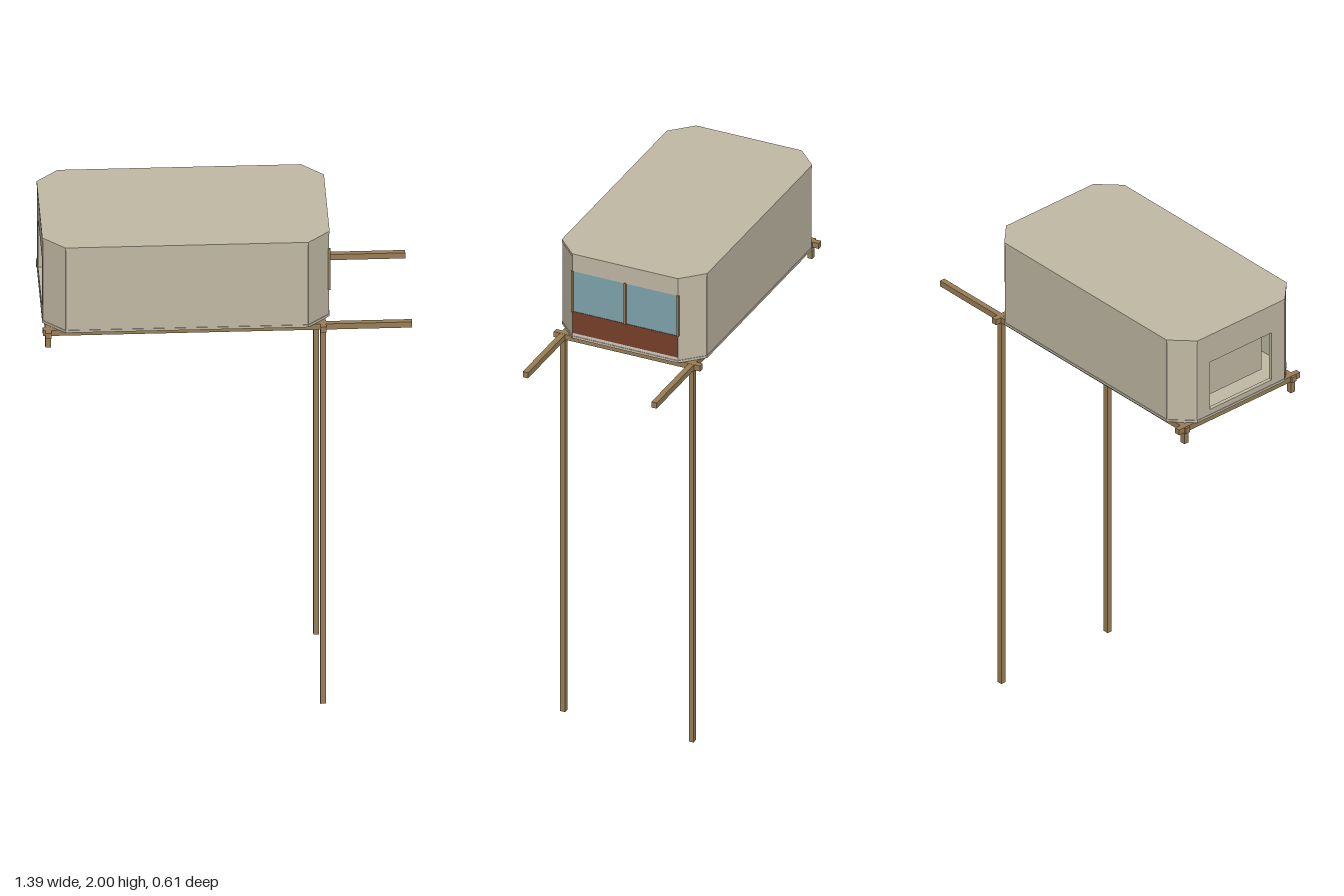
import * as THREE from 'three';

const mat = (name, color) => new THREE.MeshStandardMaterial({ name, color });

export function createModel() {
  const wallMat = mat('beige panel', 0xc2baa6);
  const wood = mat('timber', 0x9a7f57);
  const glass = mat('blue glass', 0x7fa5af);
  const brown = mat('red brown panel', 0x784029);
  const pale = mat('pale sill', 0xd2cdc2);

  const group = new THREE.Group();
  group.name = 'stiltCabin';
  const add = (name, geo, material, x = 0, y = 0, z = 0) => {
    const mesh = new THREE.Mesh(geo, material);
    mesh.name = name;
    mesh.position.set(x, y, z);
    group.add(mesh);
    return mesh;
  };
  // Box given by its minimum and maximum corners
  const block = (name, material, x0, x1, y0, y1, z0, z1) =>
    add(name, new THREE.BoxGeometry(x1 - x0, y1 - y0, z1 - z0), material,
      (x0 + x1) / 2, (y0 + y1) / 2, (z0 + z1) / 2);

  // Cabin plan: rectangle with cut corners
  const X0 = -0.695, X1 = 0.387, Z = 0.303, C = 0.083;
  const base = 1.635, top = 2, floorTop = 1.645, roofBottom = 1.988, t = 0.016;
  const plan = [
    [X0 + C, Z], [X1 - C, Z], [X1, Z - C], [X1, -Z + C],
    [X1 - C, -Z], [X0 + C, -Z], [X0, -Z + C], [X0, Z - C],
  ];
  const slab = (name, y, height) => {
    const shape = new THREE.Shape(plan.map(([x, z]) => new THREE.Vector2(x, -z)));
    const geo = new THREE.ExtrudeGeometry(shape, { depth: height, bevelEnabled: false });
    geo.rotateX(-Math.PI / 2);
    add(name, geo, wallMat, 0, y, 0);
  };
  slab('floor', base, floorTop - base);
  slab('roof', roofBottom, top - roofBottom);

  // Long sides and corner panels, set just inside the slab edge
  const wall = (name, [ax, az], [bx, bz]) => {
    const dx = bx - ax, dz = bz - az, len = Math.hypot(dx, dz);
    const inset = t / 2 + 0.002;
    const mesh = add(name, new THREE.BoxGeometry(len - 0.004, roofBottom - floorTop, t), wallMat,
      (ax + bx) / 2 + (dz / len) * inset, (floorTop + roofBottom) / 2,
      (az + bz) / 2 - (dx / len) * inset);
    mesh.rotation.y = -Math.atan2(dz, dx);
  };
  for (const [i, name] of [[0, 'frontWall'], [1, 'cornerPanel'], [3, 'cornerPanel'],
    [4, 'backWall'], [5, 'cornerPanel'], [7, 'cornerPanel']]) {
    wall(name, plan[i], plan[(i + 1) % 8]);
  }

  // End wall with an open hatch
  const w = Z - C;
  const rect = (Type, a, y0, y1) => new Type([
    new THREE.Vector2(-a, y0), new THREE.Vector2(a, y0),
    new THREE.Vector2(a, y1), new THREE.Vector2(-a, y1),
  ]);
  const endShape = rect(THREE.Shape, w, floorTop, roofBottom);
  endShape.holes.push(rect(THREE.Path, 0.155, 1.667, 1.877));
  const endGeo = new THREE.ExtrudeGeometry(endShape, { depth: t, bevelEnabled: false });
  endGeo.rotateY(Math.PI / 2);
  add('hatchWall', endGeo, wallMat, X0 + 0.002, 0, 0);
  block('innerPanel', wallMat, X0 + 0.055, X0 + 0.065, 1.69, 1.9, -0.23, 0.15);

  // Glazed end: sill, lower panel, glass, header and uprights
  const xo = X1 - 0.002;
  block('sill', pale, xo - t, xo, floorTop, 1.657, -w, w);
  block('lowerPanel', brown, xo - t, xo, 1.657, 1.75, -w, w);
  block('window', glass, xo - t, xo - 0.002, 1.75, 1.924, -w, w);
  block('header', wallMat, xo - t, xo, 1.924, roofBottom, -w, w);
  for (const z of [-w, 0, w]) {
    block('windowPost', wood, xo - 0.008, X1 + 0.003, 1.75, 1.926, z - 0.004, z + 0.004);
  }

  // Timber frame and stilts
  const h = 0.011, backX = -0.675, legX = 0.36;
  for (const s of [-1, 1]) {
    const z = s * 0.268;
    block('longBeam', wood, X0, 0.695, 1.61, base - 0.001, z - h, z + h);
    block('stilt', wood, legX - h, legX + h, 0, base - 0.002, z - h + 0.001, z + h - 0.001);
    block('shortPost', wood, backX - h, backX + h, 1.56, base - 0.002, z - h + 0.001, z + h - 0.001);
  }
  for (const x of [backX, legX]) {
    block('crossBeam', wood, x - h, x + h, 1.611, base - 0.0005, -0.305, 0.305);
  }
  return group;
}
